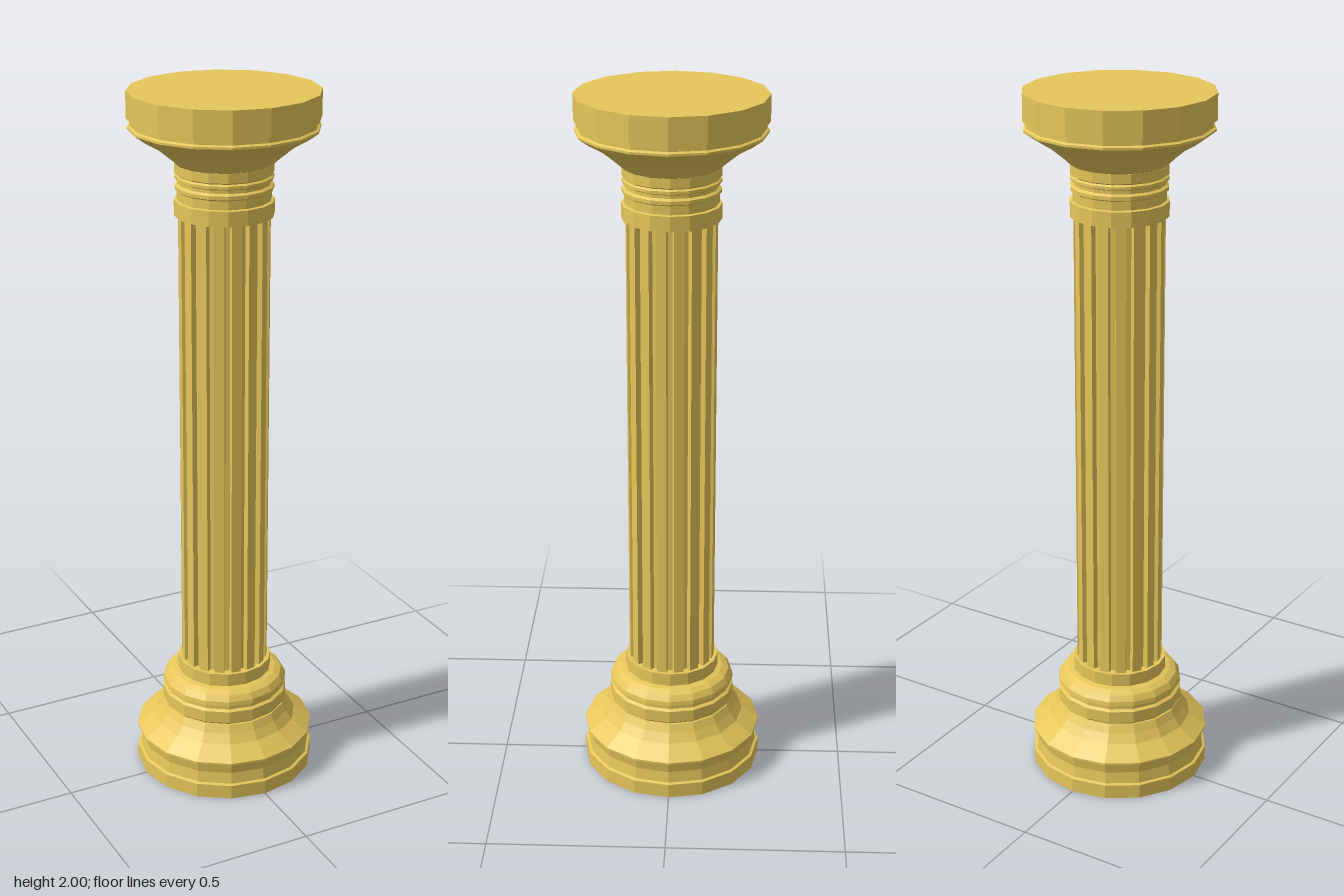
import * as THREE from 'three';

const SIDES = 16;

export function createModel() {
  const column = new THREE.Group();
  column.name = 'column';
  const material = new THREE.MeshStandardMaterial({ color: 0xe6c65a, flatShading: true });

  const add = (name, geometry) => {
    const mesh = new THREE.Mesh(geometry, material);
    mesh.name = name;
    column.add(mesh);
    return mesh;
  };
  // Sixteen-sided turned part from [radius, height] pairs, bottom to top
  const turned = (name, profile) =>
    add(name, new THREE.LatheGeometry(profile.map(([r, y]) => new THREE.Vector2(r, y)), SIDES));

  // Plinth with a shallow cove, then a flared foot
  turned('plinth', [
    [0, 0], [0.258, 0], [0.258, 0.042], [0.25, 0.045], [0.245, 0.078],
    [0.25, 0.107], [0.258, 0.11], [0.258, 0.116], [0.208, 0.15], [0.19, 0.175], [0.178, 0.197], [0, 0.197],
  ]);

  // Two stacked rings and the collar under the shaft
  turned('baseRings', [
    [0, 0.197], [0.172, 0.197], [0.181, 0.205], [0.181, 0.24], [0.172, 0.245], [0.172, 0.255],
    [0.181, 0.26], [0.179, 0.272], [0.168, 0.288], [0.15, 0.297], [0.135, 0.3],
    [0.135, 0.338], [0, 0.338],
  ]);

  // Fluted shaft: one narrow groove on each of the sixteen directions
  const outer = 0.124, inner = 0.109;
  const outline = [];
  for (let i = 0; i < SIDES; i++) {
    for (const [r, degrees] of [[outer, -4.8], [inner, -3.4], [inner, 3.4], [outer, 4.8]]) {
      const a = (i / SIDES) * Math.PI * 2 + THREE.MathUtils.degToRad(degrees);
      outline.push(new THREE.Vector2(r * Math.cos(a), r * Math.sin(a)));
    }
  }
  const shaft = new THREE.ExtrudeGeometry(new THREE.Shape(outline), { depth: 1.34, bevelEnabled: false });
  shaft.rotateX(-Math.PI / 2).translate(0, 0.33, 0);
  add('flutedShaft', shaft);

  // Collar and thin rings above the shaft
  turned('neckRings', [
    [0, 1.666], [0.135, 1.666], [0.135, 1.708], [0.127, 1.71], [0.127, 1.734], [0.133, 1.738],
    [0.133, 1.748], [0.125, 1.753], [0.125, 1.762], [0.133, 1.766], [0.133, 1.774],
    [0.127, 1.778], [0.133, 1.782], [0.133, 1.808], [0, 1.808],
  ]);

  // Flared capital with a small lip and a thick top slab
  turned('capital', [
    [0, 1.806], [0.13, 1.806], [0.15, 1.825], [0.19, 1.858], [0.228, 1.88], [0.256, 1.9],
    [0.256, 1.906], [0.249, 1.91], [0.249, 1.926], [0.258, 1.928], [0.258, 2], [0, 2],
  ]);

  return column;
}
